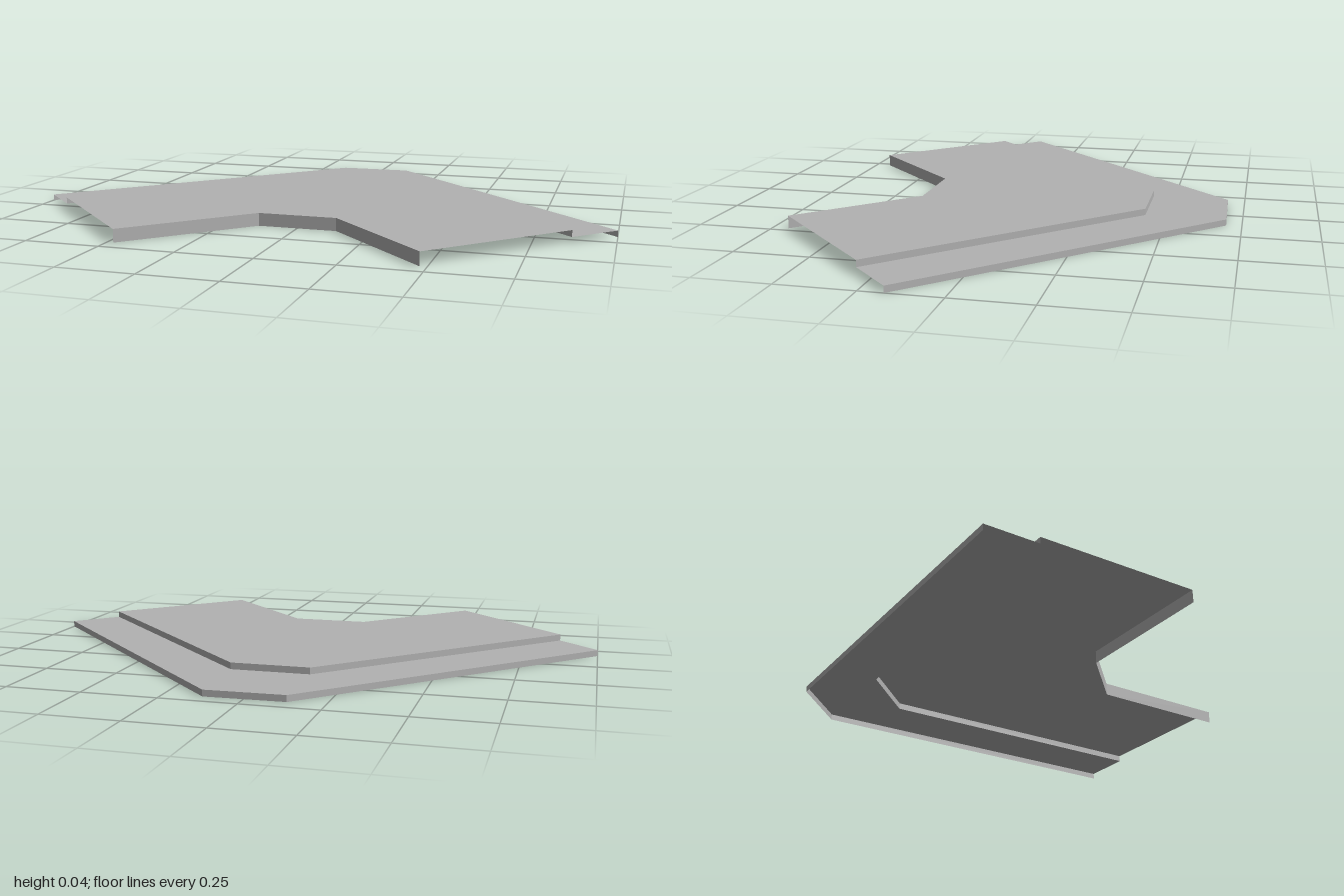
import * as THREE from 'three';

// Plan lines running left to right as [x, z]
const OUTER = [[-1, 0.172], [-0.132, -0.693], [0.127, -0.699], [1, 0.172]];
const STEP = [[-0.868, 0.303], [-0.132, -0.432], [0.132, -0.432], [0.868, 0.303]];
const INNER = [[-0.478, 0.695], [-0.132, 0.349], [0.132, 0.349], [0.478, 0.695]];
const LOW = 0.021, HIGH = 0.043;

// Flat-faced strip joining two plan lines, each at its own height
function strip(name, lineA, yA, lineB, yB, material) {
  const positions = [];
  const a = lineA.map(([x, z]) => [x, yA, z]);
  const b = lineB.map(([x, z]) => [x, yB, z]);
  for (let i = 0; i < a.length - 1; i++) {
    positions.push(...a[i], ...b[i], ...a[i + 1], ...a[i + 1], ...b[i], ...b[i + 1]);
  }
  const geometry = new THREE.BufferGeometry();
  geometry.setAttribute('position', new THREE.Float32BufferAttribute(positions, 3));
  geometry.computeVertexNormals();
  const mesh = new THREE.Mesh(geometry, material);
  mesh.name = name;
  return mesh;
}

export function createModel() {
  const group = new THREE.Group();
  group.name = 'angledStepPanel';
  const grey = new THREE.MeshStandardMaterial({ color: 0xb2b2b2, side: THREE.DoubleSide });
  grey.name = 'grey';

  // Thin stepped shell, open underneath and at both arm ends
  group.add(
    strip('outerRiser', OUTER, 0, OUTER, LOW, grey),
    strip('lowerTread', OUTER, LOW, STEP, LOW, grey),
    strip('stepRiser', STEP, LOW, STEP, HIGH, grey),
    strip('upperTread', STEP, HIGH, INNER, HIGH, grey),
    strip('innerFascia', INNER, HIGH, INNER, 0, grey),
  );
  return group;
}
